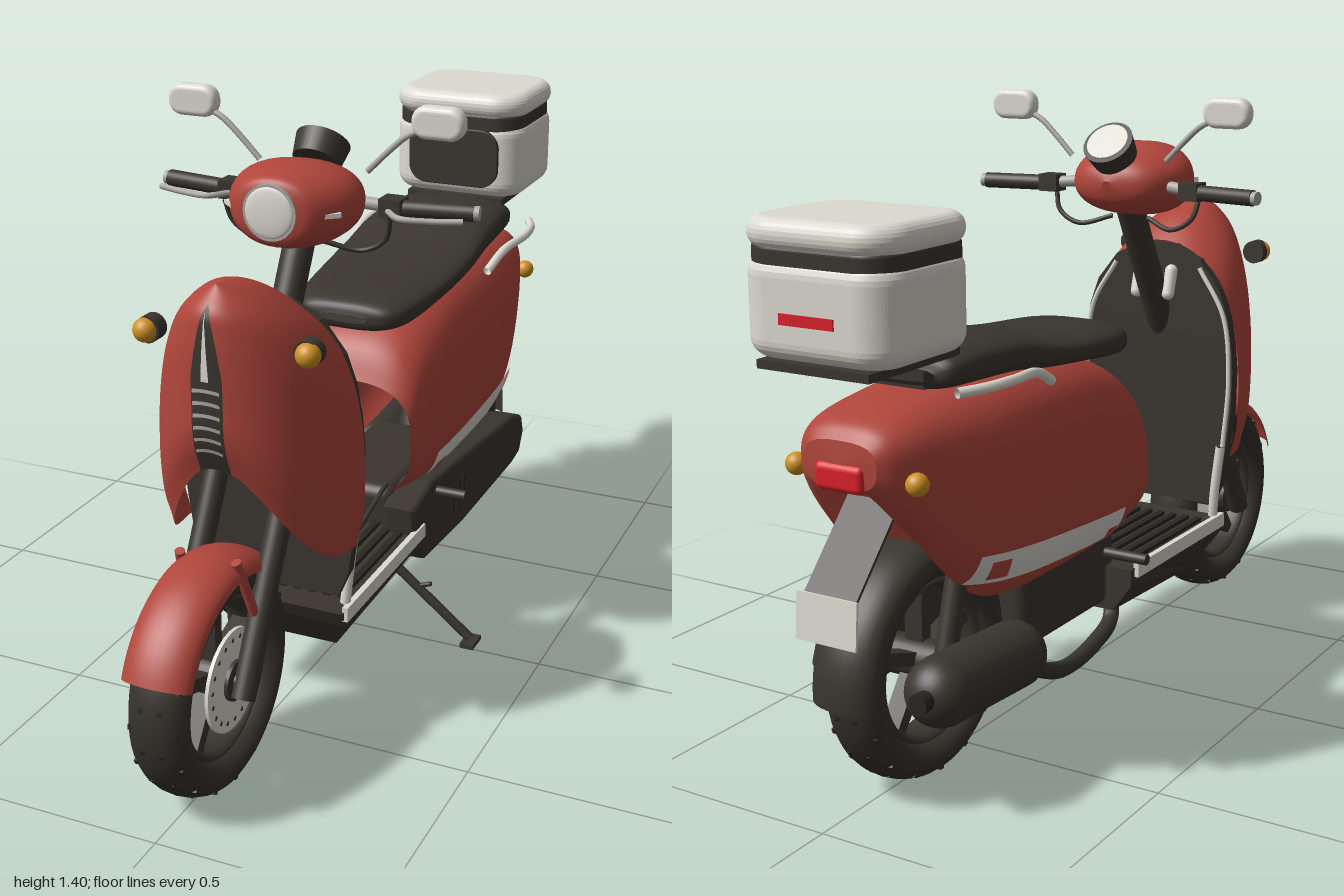
import * as THREE from 'three';
import { mergeGeometries } from 'three/addons/utils/BufferGeometryUtils.js';
import { RoundedBoxGeometry } from 'three/addons/geometries/RoundedBoxGeometry.js';

const mat = (name, color, side = THREE.FrontSide) => {
  const m = new THREE.MeshStandardMaterial({ color, side });
  m.name = name;
  return m;
};
const V = (p) => new THREE.Vector3(...p);
const box = (x, y, z) => new THREE.BoxGeometry(x, y, z);
const cyl = (r, h, r2 = r) => new THREE.CylinderGeometry(r, r2, h, 28);
const ball = (r) => new THREE.SphereGeometry(r, 32, 20);
const tube = (pts, r) => new THREE.TubeGeometry(new THREE.CatmullRomCurve3(pts.map(V)), 40, r, 10);

// straight rod between two points
function rod(a, b, r) {
  const d = V(b).sub(V(a));
  const g = cyl(r, d.length());
  g.applyQuaternion(new THREE.Quaternion().setFromUnitVectors(new THREE.Vector3(0, 1, 0), d.clone().normalize()));
  return g.translate(...V(a).addScaledVector(d, 0.5).toArray());
}
// smooth grid surface from f(u, v) -> [x, y, z]
function surf(nu, nv, f) {
  const pos = [], idx = [];
  for (let i = 0; i <= nu; i++) for (let j = 0; j <= nv; j++) pos.push(...f(i / nu, j / nv));
  for (let i = 0; i < nu; i++) for (let j = 0; j < nv; j++) {
    const a = i * (nv + 1) + j, b = a + nv + 1;
    idx.push(a, a + 1, b, b, a + 1, b + 1);
  }
  const g = new THREE.BufferGeometry();
  g.setAttribute('position', new THREE.Float32BufferAttribute(pos, 3));
  g.setIndex(idx);
  g.computeVertexNormals();
  return g;
}
// smooth interpolation down every column of a table
function spline(rows) {
  const cols = rows[0].map((_, c) => new THREE.SplineCurve(rows.map((r, i) => new THREE.Vector2(i, r[c]))));
  return (t) => cols.map((c) => c.getPoint(t).y);
}
// rounded section at one row [z, top, bottom, half width]
function section([z, top, bottom, w], a, n) {
  const p = (v) => Math.sign(v) * Math.abs(v) ** (2 / n);
  return [w * p(Math.cos(a)), (top + bottom) / 2 + (top - bottom) / 2 * p(Math.sin(a)), z];
}
// side outline [z, y] extruded inwards from x = xMax
function sideShape(pts, xMax, depth, bevel = 0) {
  const s = new THREE.Shape(pts.map((p) => new THREE.Vector2(...p)));
  const g = new THREE.ExtrudeGeometry(s, { depth, bevelEnabled: bevel > 0, bevelSize: bevel, bevelThickness: bevel, bevelSegments: 3 });
  return g.rotateY(-Math.PI / 2).translate(xMax, 0, 0);
}
// centred pad: w x h outline with corner radius r, thickness t along z, soft edges
function pad(w, h, r, t, bevel) {
  const x = w / 2 - bevel, y = h / 2 - bevel, q = r - bevel, s = new THREE.Shape();
  s.absarc(x - q, y - q, q, 0, Math.PI / 2).absarc(q - x, y - q, q, Math.PI / 2, Math.PI);
  s.absarc(q - x, q - y, q, Math.PI, Math.PI * 1.5).absarc(x - q, q - y, q, Math.PI * 1.5, Math.PI * 2);
  const depth = t - 2 * bevel;
  return new THREE.ExtrudeGeometry(s, { depth, bevelSize: bevel, bevelThickness: bevel, bevelSegments: 6, curveSegments: 10 }).translate(0, 0, -depth / 2);
}

export function createModel() {
  const root = new THREE.Group();
  root.name = 'scooter';
  const D = THREE.DoubleSide;
  const red = mat('red paint', 0xb0463b, D), dark = mat('dark plastic', 0x3a352f, D), tyreM = mat('tyre rubber', 0x37322d);
  const black = mat('black', 0x2a2622), light = mat('light grey', 0xdddad1, D), metal = mat('metal', 0xa9a8a3);
  const amber = mat('amber lens', 0xcf9222), lamp = mat('red lens', 0xdc202a);
  const add = (name, geo, m, pos = [0, 0, 0], rot = [0, 0, 0], parent = root) => {
    const mesh = new THREE.Mesh(geo, m);
    mesh.name = name;
    mesh.position.set(...pos);
    mesh.rotation.set(...rot);
    parent.add(mesh);
  };
  const H = Math.PI / 2;

  // wheels, built around the x axis
  function wheel(name, z, disc) {
    const g = new THREE.Group();
    g.name = name;
    g.position.set(0, 0.262, z);
    root.add(g);
    add('tyre', new THREE.TorusGeometry(0.217, 0.043, 18, 56).scale(1, 1, 1.6).rotateY(H), tyreM, undefined, undefined, g);
    add('rim', new THREE.TorusGeometry(0.174, 0.014, 10, 48).scale(1, 1, 3).rotateY(H), dark, undefined, undefined, g);
    add('hub', cyl(0.045, 0.13).rotateZ(H), dark, undefined, undefined, g);
    const spokes = [], knobs = [];
    for (let i = 0; i < 5; i++) spokes.push(box(0.045, 0.15, 0.03).translate(0, 0.1, 0).rotateX(i * Math.PI * 0.4));
    for (let i = 0; i < 32; i++) for (const s of [1, -1])
      knobs.push(box(0.014, 0.006, 0.012).translate(s * (i % 2 ? 0.02 : 0.05), i % 2 ? 0.255 : 0.244, 0).rotateX(i * Math.PI / 16));
    add('spokes', mergeGeometries(spokes), dark, undefined, undefined, g);
    add('tread', mergeGeometries(knobs), black, undefined, undefined, g);
    if (!disc) return;
    add('brakeDisc', cyl(0.115, 0.008).rotateZ(H), light, [0.052, 0, 0], undefined, g);
    const holes = [];
    for (let i = 0; i < 18; i++) holes.push(cyl(0.005, 0.01).rotateZ(H).translate(0, 0.095, 0).rotateX(i * Math.PI / 9));
    add('discHoles', mergeGeometries(holes), dark, [0.052, 0, 0], undefined, g);
  }
  wheel('frontWheel', 0.745, true);
  wheel('rearWheel', -0.66, false);

  // mudguards: arcs over the wheels
  const guard = (z, a0, a1) => surf(32, 14, (u, v) => {
    const a = a0 + (a1 - a0) * u, p = (v - 0.5) * Math.PI, r = 0.237 + 0.045 * Math.cos(p);
    return [0.08 * Math.sin(p), 0.262 + r * Math.sin(a), z + r * Math.cos(a)];
  });
  add('frontMudguard', guard(0.745, 0.4, 2.45), red);
  add('rearMudguard', guard(-0.67, 1.7, 3.2), dark);
  add('plateFlap', sideShape([[-0.8, 0.655], [-0.955, 0.485], [-0.955, 0.475], [-0.8, 0.645]], 0.065, 0.13), dark);

  // fork and steering column
  for (const s of [1, -1]) {
    add('forkLeg', rod([s * 0.085, 0.23, 0.76], [s * 0.085, 0.7, 0.5], 0.027), dark);
    add('mudguardStay', rod([s * 0.08, 0.4, 0.69], [s * 0.066, 0.54, 0.74], 0.011), red);
  }
  add('axle', cyl(0.02, 0.19).rotateZ(H), dark, [0, 0.262, 0.745]);
  add('forkCrown', box(0.21, 0.07, 0.09), dark, [0, 0.68, 0.51]);
  add('steeringColumn', rod([0, 0.65, 0.53], [0, 1.14, 0.26], 0.035), dark);

  // front shield: half-round shell with a domed top
  const shield = spline([[0.205, 0.69], [0.222, 0.71], [0.226, 0.72], [0.226, 0.72], [0.222, 0.72], [0.214, 0.72], [0.203, 0.718], [0.19, 0.71], [0.17, 0.67]]);
  const shieldWidth = (t) => shield(t)[0] * Math.sqrt(Math.max(0, 1 - t ** 7));
  const shieldPoint = (t, a) => {
    const c = Math.max(0, Math.cos(a)), lo = 0.47 + 0.25 * c ** 3, hi = 1.115 - 0.095 * (1 - c) ** 2.2;
    return [shieldWidth(t) * Math.sin(a), lo + (hi - lo) * t, 0.44 + (shield(t)[1] - 0.44) * c];
  };
  add('frontShield', surf(40, 44, (u, v) => shieldPoint(1 - (1 - u) ** 2, (v - 0.5) * Math.PI)), red);
  // nose slot, grille and blade lie on the shield's centre line
  const noseStrip = (name, t0, t1, halfWidth, lift, m) => add(name, surf(20, 6, (u, v) => {
    const t = t0 + (t1 - t0) * u, [x, y, z] = shieldPoint(t, Math.asin((2 * v - 1) * halfWidth(u) / shieldWidth(t)));
    return [x, y, z + lift];
  }), m);
  noseStrip('noseSlot', 0, 0.92, (u) => 0.036 * Math.min(1, 2.4 * (1 - u)) ** 0.7, 0.006, dark);
  noseStrip('noseBlade', 0.52, 0.89, (u) => 0.009 * (1 - u), 0.01, light);
  for (let i = 0; i < 6; i++) noseStrip('grilleBar', 0.12 + i * 0.068, 0.14 + i * 0.068, () => 0.031, 0.01, metal);

  // inner leg shield
  const half = [[0.165, 0.34], [0.19, 0.4], [0.204, 0.5], [0.216, 0.6], [0.218, 0.7], [0.212, 0.77], [0.2, 0.84], [0.175, 0.91], [0.12, 0.98], [0.05, 1.015]];
  const outline = [...half, ...half.map(([x, y]) => [-x, y]).reverse()].map((p) => new THREE.Vector2(...p));
  add('legShield', new THREE.ExtrudeGeometry(new THREE.Shape(outline), { depth: 0.03, bevelEnabled: false }), dark, [0, 0, 0.42]);
  for (const s of [1, -1]) {
    add('shieldTrim', tube([[s * 0.12, 0.96, 0.418], [s * 0.19, 0.84, 0.418], [s * 0.208, 0.68, 0.418], [s * 0.195, 0.5, 0.418]], 0.006), light);
    add('lowerTrim', tube([[s * 0.19, 0.5, 0.416], [s * 0.176, 0.38, 0.416], [s * 0.17, 0.31, 0.42]], 0.012), light);
    add('floorTrim', box(0.014, 0.035, 0.47), light, [s * 0.182, 0.295, 0.215]);
    add('bagHook', new THREE.CapsuleGeometry(0.016, 0.06, 6, 12), light, [s * 0.045, 0.92, 0.4], [0.3, 0, 0]);
  }

  // footboard, narrowing towards the bottom
  const floor = sideShape([[0.46, 0.3], [0.44, 0.26], [0.38, 0.175], [-0.04, 0.19], [-0.04, 0.26], [-0.04, 0.3]], 0.18, 0.36);
  const fp = floor.attributes.position;
  for (let i = 0; i < fp.count; i++) if (fp.getY(i) < 0.25) fp.setX(i, fp.getX(i) * 0.72);
  floor.computeVertexNormals();
  add('footboard', floor, dark);
  for (let i = -4; i <= 4; i++) add('floorRib', box(0.016, 0.012, 0.38), black, [i * 0.036, 0.304, 0.2]);
  add('floorCable', rod([0.1, 0.325, 0.36], [0.1, 0.42, 0.02], 0.006), dark);

  // rear body: arch open at the front and underneath, rows of [z, top, bottom, half width]
  const body = spline([[0.05, 0.69, 0.4, 0.175], [0, 0.77, 0.38, 0.186], [-0.1, 0.825, 0.36, 0.197], [-0.25, 0.86, 0.355, 0.205], [-0.5, 0.87, 0.36, 0.205],
    [-0.65, 0.865, 0.41, 0.19], [-0.8, 0.85, 0.57, 0.155], [-0.875, 0.83, 0.66, 0.12], [-0.905, 0.8, 0.7, 0.09]]);
  add('rearBody', surf(48, 48, (u, v) => section(body(u), -1.05 + v * (Math.PI + 2.1), 2.9)), red);
  add('tailCap', surf(4, 40, (u, v) => {
    const [x, y, z] = section(body(1), v * Math.PI * 2, 2.9);
    return [x * (1 - u), 0.75 + (y - 0.75) * (1 - u), z - 0.006 * u];
  }), red);
  // side panels follow the body surface
  const sidePanel = (name, s, t0, t1, v0, v1, lift, m) => add(name, surf(24, 6, (u, v) => {
    const [z, top, bot, w] = body(t0 + u * (t1 - t0));
    const y = 0.405 - 0.08 * (z + 0.08) + (v0 + v * (v1 - v0)) * 0.07;
    const k = Math.min(0.95, Math.abs((y - (top + bot) / 2) / ((top - bot) / 2)));
    return [s * (w * (1 - k ** 2.9) ** (1 / 2.9) + lift), y, z];
  }), m);
  for (const s of [1, -1]) {
    sidePanel('sidePanel', s, 0.24, 0.645, 0, 1, 0.006, light);
    sidePanel('panelClip', s, 0.26, 0.31, 0, 0.4, 0.009, red);
    sidePanel('panelCatch', s, 0.57, 0.62, 0.15, 0.75, 0.009, red);
  }

  // seat
  const seat = spline([[0.055, 0.855, 0.835, 0.06], [0.04, 0.88, 0.815, 0.115], [-0.03, 0.895, 0.81, 0.15], [-0.2, 0.905, 0.83, 0.17], [-0.35, 0.925, 0.845, 0.175],
    [-0.47, 0.955, 0.86, 0.172], [-0.6, 0.965, 0.865, 0.165], [-0.71, 0.955, 0.87, 0.15], [-0.735, 0.92, 0.89, 0.11]]);
  add('seat', surf(40, 40, (u, v) => section(seat(u), -H + v * Math.PI * 2, 2.8)), dark);
  for (const s of [1, -1]) add('grabRail', tube([[s * 0.19, 0.845, -0.42], [s * 0.205, 0.88, -0.5], [s * 0.222, 0.89, -0.62], [s * 0.212, 0.89, -0.7], [s * 0.185, 0.888, -0.765]], 0.011), light);

  // rack and top box
  add('rack', box(0.27, 0.018, 0.3), dark, [0, 0.953, -0.83]);
  add('rackStem', box(0.16, 0.07, 0.05), dark, [0, 0.91, -0.705]);
  add('boxBase', pad(0.365, 0.32, 0.08, 0.205, 0.04), light, [0, 1.065, -0.83], [-H, 0, 0]);
  add('boxSeam', pad(0.35, 0.31, 0.075, 0.05, 0.01), dark, [0, 1.162, -0.828], [-H, 0, 0]);
  add('boxLid', pad(0.37, 0.33, 0.09, 0.064, 0.031), light, [0, 1.208, -0.828], [-H, 0, 0]);
  add('backrest', pad(0.25, 0.155, 0.05, 0.014, 0.003), dark, [0, 1.07, -0.668]);
  add('boxLatch', box(0.05, 0.03, 0.012), metal, [0, 1.165, -0.668]);
  add('boxReflector', box(0.13, 0.022, 0.008), lamp, [0, 1.05, -0.99]);

  // headlamp nacelle and gauge
  const nacelle = spline([[0.425, 1.25, 1.145, 0.06], [0.41, 1.27, 1.12, 0.095], [0.35, 1.282, 1.103, 0.135], [0.28, 1.282, 1.105, 0.148], [0.205, 1.262, 1.12, 0.122], [0.165, 1.235, 1.145, 0.08], [0.148, 1.2, 1.185, 0.01]]);
  add('nacelle', surf(32, 40, (u, v) => section(nacelle(u), -H + v * Math.PI * 2, 2.2)), red);
  add('headlampRim', cyl(0.062, 0.03).rotateX(H), metal, [0, 1.198, 0.415]);
  add('headlamp', ball(1).scale(0.056, 0.056, 0.008), light, [0, 1.198, 0.43]);
  add('gauge', cyl(0.063, 0.055, 0.055), dark, [0, 1.273, 0.175], [-0.78, 0, 0]);
  add('gaugeFace', cyl(0.052, 0.008), light, [0, 1.293, 0.155], [-0.78, 0, 0]);

  // handlebars, levers, mirrors and indicators
  for (const s of [1, -1]) {
    add('handlebar', rod([s * 0.08, 1.19, 0.24], [s * 0.22, 1.178, 0.215], 0.014), metal);
    add('grip', rod([s * 0.2, 1.178, 0.218], [s * 0.37, 1.178, 0.19], 0.019), dark);
    add('barEnd', rod([s * 0.37, 1.178, 0.19], [s * 0.382, 1.178, 0.188], 0.016), metal);
    add('switchBlock', box(0.05, 0.042, 0.05), dark, [s * 0.195, 1.18, 0.22]);
    add('brakeLever', tube([[s * 0.19, 1.175, 0.24], [s * 0.23, 1.172, 0.275], [s * 0.3, 1.17, 0.262], [s * 0.365, 1.172, 0.245]], 0.007), metal);
    add('cable', tube([[s * 0.2, 1.16, 0.25], [s * 0.185, 1.11, 0.24], [s * 0.13, 1.08, 0.24], [s * 0.05, 1.1, 0.27]], 0.006), dark);
    add('nacelleTrim', box(0.045, 0.01, 0.03), light, [s * 0.112, 1.192, 0.37], [0, s * 0.7, 0]);
    add('mirrorStalk', tube([[s * 0.13, 1.25, 0.21], [s * 0.18, 1.3, 0.21], [s * 0.22, 1.335, 0.21], [s * 0.26, 1.355, 0.21]], 0.007), metal);
    add('mirror', pad(0.12, 0.072, 0.033, 0.04, 0.014), light, [s * 0.293, 1.37, 0.207]);
    add('frontIndicatorBase', cyl(0.029, 0.035).rotateX(H), dark, [s * 0.183, 0.98, 0.622]);
    add('frontIndicator', ball(0.027), amber, [s * 0.187, 0.98, 0.638]);
    add('rearIndicatorStem', rod([s * 0.08, 0.725, -0.85], [s * 0.15, 0.72, -0.85], 0.01), dark);
    add('rearIndicator', ball(0.024), amber, [s * 0.15, 0.72, -0.855]);
    add('footPeg', rod([s * 0.15, 0.362, -0.11], [s * 0.26, 0.362, -0.11], 0.013), dark);
  }

  // tail lamp and number plate
  add('tailLamp', new RoundedBoxGeometry(0.12, 0.06, 0.035, 3, 0.015), lamp, [0, 0.725, -0.9]);
  add('numberPlate', box(0.15, 0.1, 0.006), light, [0, 0.445, -0.962], [0.08, 0, 0]);

  // engine, transmission case and exhaust
  add('engineBlock', new RoundedBoxGeometry(0.22, 0.2, 0.42, 3, 0.03), dark, [0, 0.3, -0.2]);
  add('transmissionCase', sideShape([[0.03, 0.36], [-0.08, 0.385], [-0.35, 0.36], [-0.7, 0.325], [-0.77, 0.3], [-0.785, 0.26], [-0.76, 0.215], [-0.7, 0.205], [-0.3, 0.2], [-0.05, 0.215], [0.02, 0.28]], 0.17, 0.06, 0.014), dark);
  for (let i = 0; i < 3; i++) add('caseVent', box(0.006, 0.075, 0.012), black, [0.184, 0.29, -0.22 - i * 0.04]);
  add('exhaustPipe', tube([[-0.06, 0.22, 0.06], [-0.08, 0.14, 0.04], [-0.1, 0.112, -0.08], [-0.12, 0.115, -0.25], [-0.15, 0.18, -0.42], [-0.165, 0.24, -0.52]], 0.02), dark);
  add('muffler', new THREE.CapsuleGeometry(0.075, 0.27, 10, 24).rotateX(H), dark, [-0.16, 0.265, -0.67], [0.06, 0, 0]);
  add('mufflerTip', cyl(0.022, 0.05).rotateX(H), black, [-0.17, 0.28, -0.875]);
  add('shockAbsorber', rod([-0.1, 0.3, -0.7], [-0.1, 0.58, -0.62], 0.025), dark);

  // side stand
  add('standLeg', rod([0.11, 0.2, 0], [0.31, 0.018, -0.025], 0.012), dark);
  add('standFoot', box(0.035, 0.012, 0.06), dark, [0.312, 0.008, -0.025]);
  add('standTab', rod([0.17, 0.14, -0.01], [0.21, 0.155, -0.01], 0.006), dark);
  return root;
}
